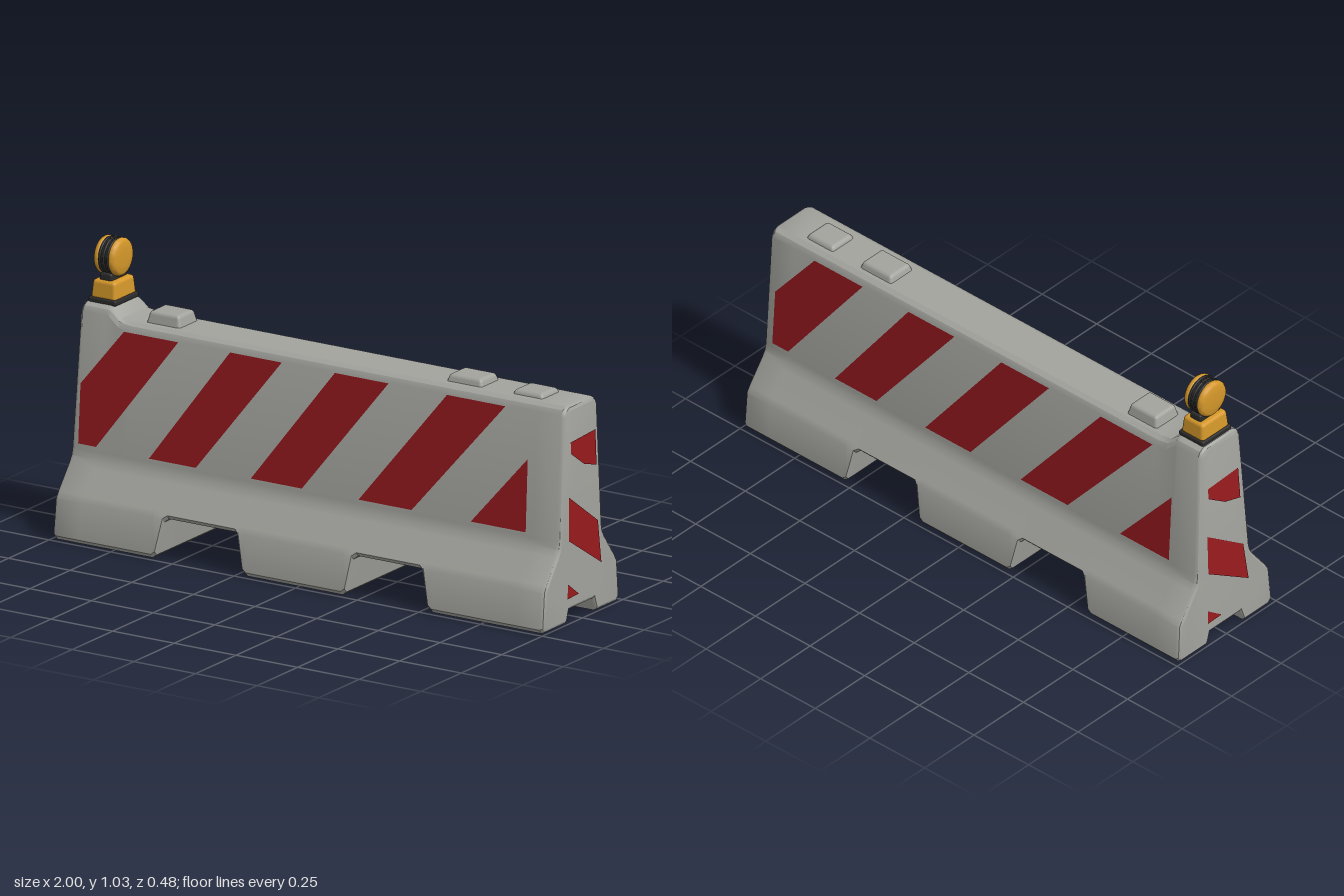
import * as THREE from 'three';
import { toCreasedNormals } from 'three/addons/utils/BufferGeometryUtils.js';
import { RoundedBoxGeometry } from 'three/addons/geometries/RoundedBoxGeometry.js';

const mat = (name, color) => Object.assign(new THREE.MeshStandardMaterial({ color }), { name });

// Half width of the barrier at a given height
const SIDE = [[0, 0.24], [0.145, 0.228], [0.165, 0.216], [0.25, 0.152], [0.275, 0.138], [0.30, 0.133], [0.785, 0.1], [1, 0.085]];
function halfWidth(y) {
  for (let i = 1; i < SIDE.length; i++) {
    const [y0, z0] = SIDE[i - 1], [y1, z1] = SIDE[i];
    if (y <= y1) return z0 + (z1 - z0) * (y - y0) / (y1 - y0);
  }
  return 0.085;
}

// The -x end leans slightly inwards towards the top
const lean = (y) => 0.03 * y;

// Closed cross-section as [z, y]: floor height, end-pocket height, top height, edge inset
function section(floor, pocket, top, inset) {
  const f = floor + inset, t = top - inset;
  const low = f + 0.015, mid = Math.max(0.145, f + 0.02);
  const w = (y) => halfWidth(y) - inset;
  const half = [
    [0.08, f + pocket], [0.095, f], [w(low) - 0.013, f], [w(low), low],
    [w(mid), mid], [w(0.167), 0.167], [w(0.25), 0.25], [w(0.275), 0.275], [w(0.30), 0.30],
    [w(t - 0.028), t - 0.028], [w(t) - 0.008, t - 0.01], [w(t) - 0.026, t],
  ];
  return [...half, ...half.map(([z, y]) => [-z, y]).reverse()];
}

function bodyGeometry() {
  // x, floor, pocket, top, inset
  const stations = [
    [-0.997, 0, 0.045, 0.81, 0.014], [-0.992, 0, 0.045, 0.81, 0.005], [-0.982, 0, 0.045, 0.81, 0],
    [-0.885, 0, 0.045, 0.81, 0], [-0.87, 0, 0, 0.81, 0], [-0.855, 0, 0, 0.808, 0], [-0.815, 0, 0, 0.775, 0],
    [-0.77, 0, 0, 0.768, 0], [-0.595, 0, 0, 0.768, 0], [-0.58, 0.012, 0, 0.768, 0],
    [-0.555, 0.13, 0, 0.768, 0], [-0.54, 0.142, 0, 0.768, 0], [-0.265, 0.142, 0, 0.768, 0], [-0.25, 0.13, 0, 0.768, 0],
    [-0.225, 0.012, 0, 0.768, 0], [-0.21, 0, 0, 0.768, 0], [0.175, 0, 0, 0.768, 0], [0.19, 0.012, 0, 0.768, 0],
    [0.212, 0.13, 0, 0.768, 0], [0.227, 0.142, 0, 0.768, 0], [0.485, 0.142, 0, 0.768, 0], [0.502, 0.13, 0, 0.768, 0],
    [0.527, 0.012, 0, 0.768, 0], [0.542, 0, 0, 0.768, 0], [0.87, 0, 0, 0.768, 0], [0.885, 0, 0.045, 0.768, 0],
    [0.982, 0, 0.045, 0.768, 0], [0.992, 0, 0.045, 0.768, 0.005], [0.997, 0, 0.045, 0.768, 0.014],
  ];
  const loops = stations.map(([, f, p, t, i]) => section(f, p, t, i));
  const n = loops[0].length, positions = [], index = [];
  loops.forEach((loop, s) => loop.forEach(([z, y]) => {
    const x = stations[s][0];
    positions.push(x < -0.86 ? x + lean(y) * (-x - 0.86) / 0.137 : x, y, z);
  }));
  for (let s = 0; s < loops.length - 1; s++) {
    for (let j = 0; j < n; j++) {
      const a = s * n + j, b = s * n + (j + 1) % n;
      index.push(a, a + n, b, b, a + n, b + n);
    }
  }
  // End caps
  for (const [s, dir] of [[0, -1], [loops.length - 1, 1]]) {
    const pts = loops[s].map(([z, y]) => new THREE.Vector2(z, y));
    for (const [a, b, c] of THREE.ShapeUtils.triangulateShape(pts, [])) {
      const ccw = THREE.ShapeUtils.area([pts[a], pts[b], pts[c]]) > 0;
      const tri = ccw === (dir < 0) ? [a, b, c] : [a, c, b];
      index.push(...tri.map((k) => s * n + k));
    }
  }
  const g = new THREE.BufferGeometry();
  g.setAttribute('position', new THREE.Float32BufferAttribute(positions, 3));
  g.setIndex(index);
  return toCreasedNormals(g, 0.5);
}

// Flat painted patch, its corners moved onto a surface by place(u, y) -> [x, y, z]
function paintGeometry(corners, place) {
  const g = new THREE.ShapeGeometry(new THREE.Shape(corners.map(([u, y]) => new THREE.Vector2(u, y))));
  const p = g.attributes.position;
  for (let i = 0; i < p.count; i++) p.setXYZ(i, ...place(p.getX(i), p.getY(i)));
  g.computeVertexNormals();
  return g;
}

const SIDE_STRIPES = [
  [[-0.957, 0.32], [-0.885, 0.32], [-0.57, 0.738], [-0.79, 0.738], [-0.957, 0.53]],
  [[-0.67, 0.315], [-0.48, 0.315], [-0.15, 0.738], [-0.36, 0.738]],
  [[-0.257, 0.315], [-0.05, 0.315], [0.283, 0.738], [0.065, 0.738]],
  [[0.18, 0.315], [0.395, 0.315], [0.757, 0.738], [0.52, 0.738]],
  [[0.635, 0.315], [0.858, 0.315], [0.855, 0.57]],
];
const END_STRIPES = [
  [[-0.07, 0.6], [0.01, 0.545], [0.087, 0.522], [0.08, 0.65], [-0.073, 0.642]],
  [[-0.082, 0.293], [0.117, 0.168], [0.095, 0.323], [-0.082, 0.448]],
  [[-0.092, 0.09], [-0.022, 0.092], [-0.09, 0.142]],
];

export function createModel() {
  const concrete = mat('concrete grey', 0xa2a39d);
  const red = mat('stripe red', 0x981a1e);
  const amber = mat('lamp amber', 0xd4972a);
  const black = mat('rubber black', 0x2b2b2c);
  red.side = THREE.DoubleSide;

  const model = new THREE.Group();
  model.name = 'trafficBarrier';
  const add = (parent, name, geometry, material, x = 0, y = 0, z = 0) => {
    const m = new THREE.Mesh(geometry, material);
    m.name = name;
    m.position.set(x, y, z);
    parent.add(m);
    return m;
  };

  add(model, 'barrierBody', bodyGeometry(), concrete);

  // Box narrowing towards its top
  const taperedBox = (w, h, d, r, taper) => {
    const g = new RoundedBoxGeometry(w, h, d, 3, r), p = g.attributes.position;
    for (let i = 0; i < p.count; i++) {
      const k = (p.getY(i) / h + 0.5) * taper;
      p.setX(i, p.getX(i) - Math.sign(p.getX(i)) * k);
      p.setZ(i, p.getZ(i) - Math.sign(p.getZ(i)) * k);
    }
    g.computeVertexNormals();
    return g;
  };

  // Raised filler caps along the top
  for (const [x, top, w] of [[-0.667, 0.808, 0.146], [0.553, 0.793, 0.156], [0.81, 0.784, 0.138]]) {
    const h = top - 0.745;
    add(model, 'topCap', taperedBox(w, h, 0.125, 0.011, 0.014), concrete, x, 0.745 + h / 2, -0.004);
  }

  // Red stripes, the same on both sides and ends turned half round
  for (const turn of [0, 1]) {
    const paint = new THREE.Group();
    paint.name = turn ? 'backStripes' : 'frontStripes';
    paint.rotation.y = turn * Math.PI;
    for (const s of SIDE_STRIPES) {
      add(paint, 'sideStripe', paintGeometry(s, (x, y) => [x, y, halfWidth(y) + 0.003]), red);
    }
    for (const s of END_STRIPES) {
      add(paint, 'endStripe', paintGeometry(s, (u, y) => [1 - turn * lean(y), y, -u]), red);
    }
    model.add(paint);
  }

  // Warning lamp on the raised post
  const lamp = new THREE.Group();
  lamp.name = 'warningLamp';
  lamp.position.set(-0.902, 0, 0);
  model.add(lamp);
  add(lamp, 'lampFoot', new RoundedBoxGeometry(0.112, 0.02, 0.146, 2, 0.006), black, 0, 0.817, 0);
  add(lamp, 'batteryBox', taperedBox(0.102, 0.068, 0.136, 0.012, 0.006), amber, 0, 0.854, 0);
  add(lamp, 'lampNeck', new RoundedBoxGeometry(0.05, 0.03, 0.104, 2, 0.008), black, 0, 0.897, 0);

  const head = new THREE.Group();
  head.name = 'lampHead';
  head.position.y = 0.963;
  head.rotation.z = Math.PI / 2;
  lamp.add(head);
  add(head, 'lampDrum', new THREE.CylinderGeometry(0.063, 0.063, 0.05, 40), black);
  for (const y of [-0.016, 0, 0.016]) {
    add(head, 'drumRib', new THREE.TorusGeometry(0.0615, 0.005, 8, 40), black, 0, y, 0).rotation.x = Math.PI / 2;
  }
  const lensProfile = [[0.0645, 0.021], [0.0665, 0.024], [0.0665, 0.032], [0.062, 0.039], [0.054, 0.043], [0.03, 0.045], [0, 0.046]]
    .map(([r, y]) => new THREE.Vector2(r, y));
  const lens = toCreasedNormals(new THREE.LatheGeometry(lensProfile, 40), 0.6);
  for (const turn of [0, 1]) add(head, 'lens', lens, amber).rotation.x = turn * Math.PI;
  for (const z of [-0.012, 0.012]) {
    add(lamp, 'topBolt', new THREE.SphereGeometry(0.006, 10, 8), black, 0, 1.026, z);
  }
  return model;
}
